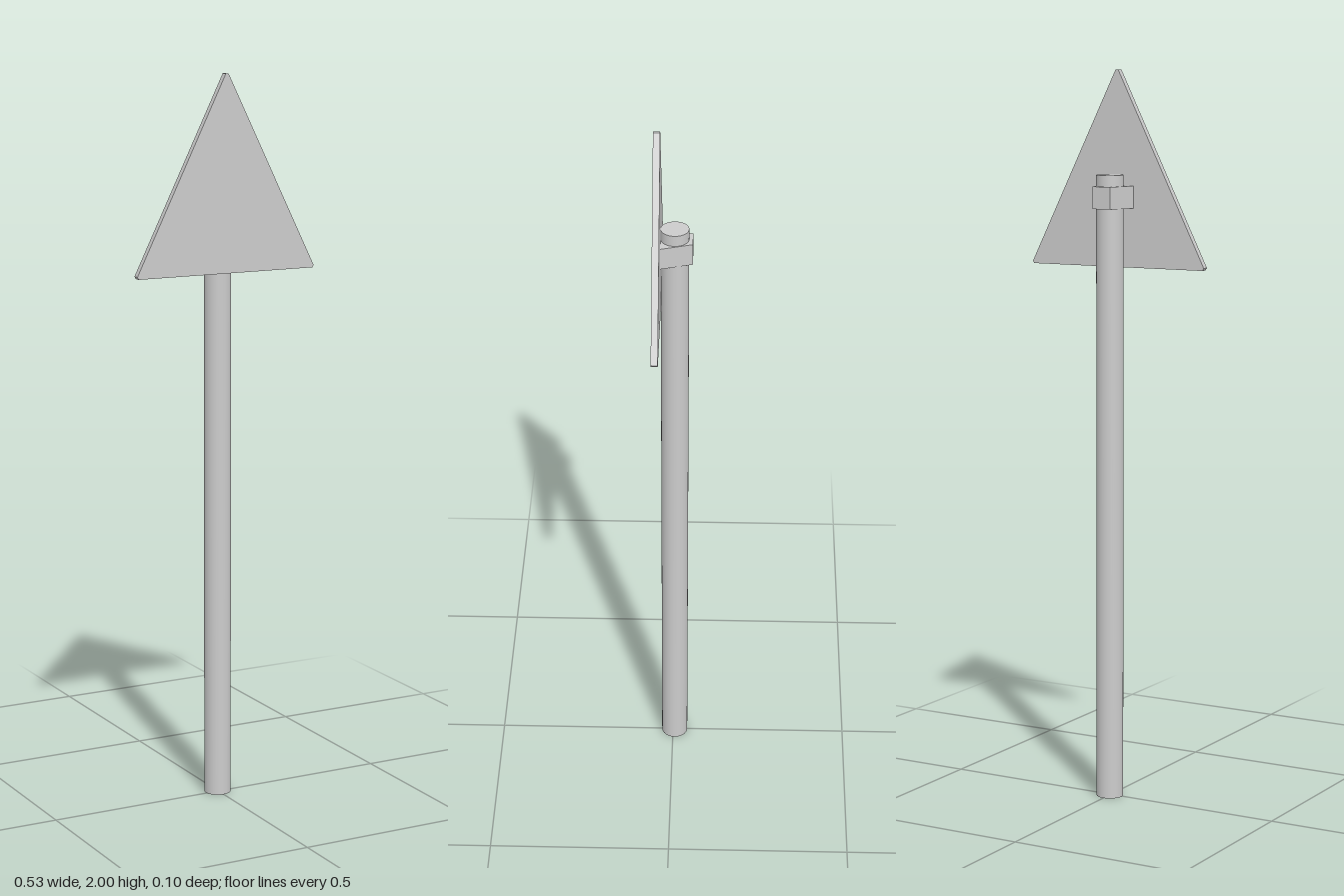
import * as THREE from 'three';

const material = new THREE.MeshStandardMaterial({ color: 0xcccccc });

function addMesh(group, name, geometry) {
  const mesh = new THREE.Mesh(geometry, material);
  mesh.name = name;
  group.add(mesh);
  return mesh;
}

function extrude(points, depth) {
  const shape = new THREE.Shape(points.map(([x, y]) => new THREE.Vector2(x, y)));
  return new THREE.ExtrudeGeometry(shape, { depth, bevelEnabled: false });
}

export function createModel() {
  const group = new THREE.Group();
  group.name = 'triangularRoadSign';

  // Round post
  const postHeight = 1.72;
  const post = addMesh(group, 'post', new THREE.CylinderGeometry(0.037, 0.037, postHeight, 32));
  post.position.set(0, postHeight / 2, -0.005);

  // Triangular plate with slightly blunted corners
  const plate = addMesh(group, 'signPlate', extrude([
    [-0.263, 1.47], [0.263, 1.47], [0.267, 1.477],
    [0.004, 2], [-0.004, 2], [-0.267, 1.477],
  ], 0.018));
  plate.position.z = 0.032;

  // Tapered clamp holding the plate to the post; outline is (x, -z)
  const clamp = addMesh(group, 'clamp', extrude([
    [-0.052, -0.032], [0.052, -0.032], [0.027, 0.052], [-0.027, 0.052],
  ], 0.06));
  clamp.rotation.x = -Math.PI / 2;
  clamp.position.y = 1.63;

  return group;
}
